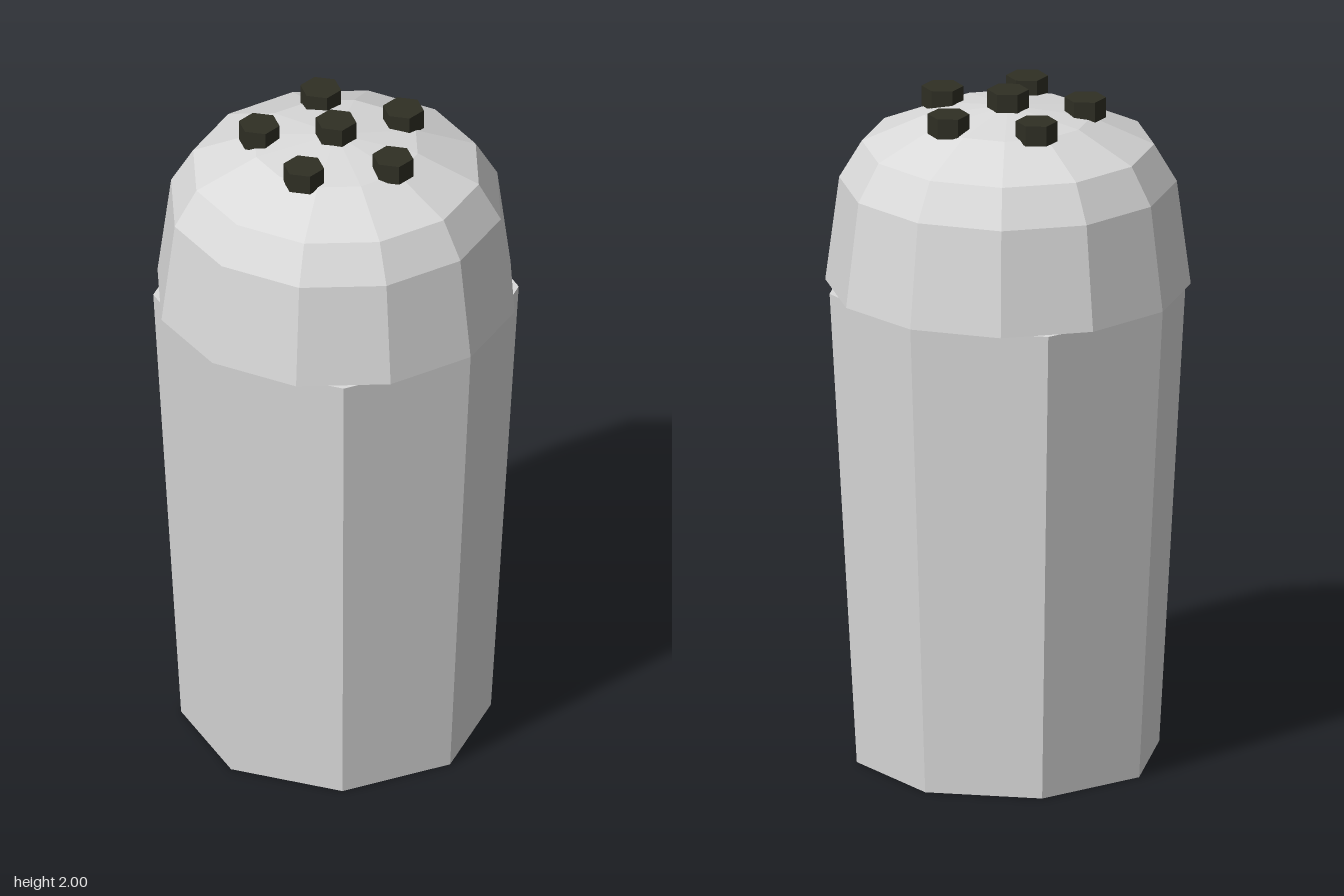
import * as THREE from 'three';

const flat = (name, color) => {
  const m = new THREE.MeshStandardMaterial({ color, flatShading: true });
  m.name = name;
  return m;
};

export function createModel() {
  const model = new THREE.Group();
  const pale = flat('pale grey', 0xdadada);
  const dark = flat('dark olive', 0x2f2f24);

  const add = (name, geometry, material, x = 0, y = 0, z = 0) => {
    const mesh = new THREE.Mesh(geometry, material);
    mesh.name = name;
    mesh.position.set(x, y, z);
    model.add(mesh);
  };

  // Eight-sided tapered body
  const bodyHeight = 1.42;
  add('body', new THREE.CylinderGeometry(0.525, 0.445, bodyHeight, 8), pale, 0, bodyHeight / 2, 0);

  // Twelve-sided domed cap, closed underneath
  const profile = [[0, 1.42], [0.525, 1.42], [0.485, 1.73], [0.42, 1.84], [0.24, 1.92], [0, 1.953]]
    .map(([r, y]) => new THREE.Vector2(r, y));
  add('dome', new THREE.LatheGeometry(profile, 12), pale);

  // Hexagonal studs: one in the centre, five around it
  const stud = new THREE.CylinderGeometry(0.06, 0.06, 0.06, 6);
  add('centreStud', stud, dark, 0, 1.97, 0);
  for (let i = 0; i < 5; i++) {
    const a = (i / 5) * Math.PI * 2;
    add('outerStud' + (i + 1), stud, dark, 0.222 * Math.cos(a), 1.942, 0.222 * Math.sin(a));
  }

  return model;
}
